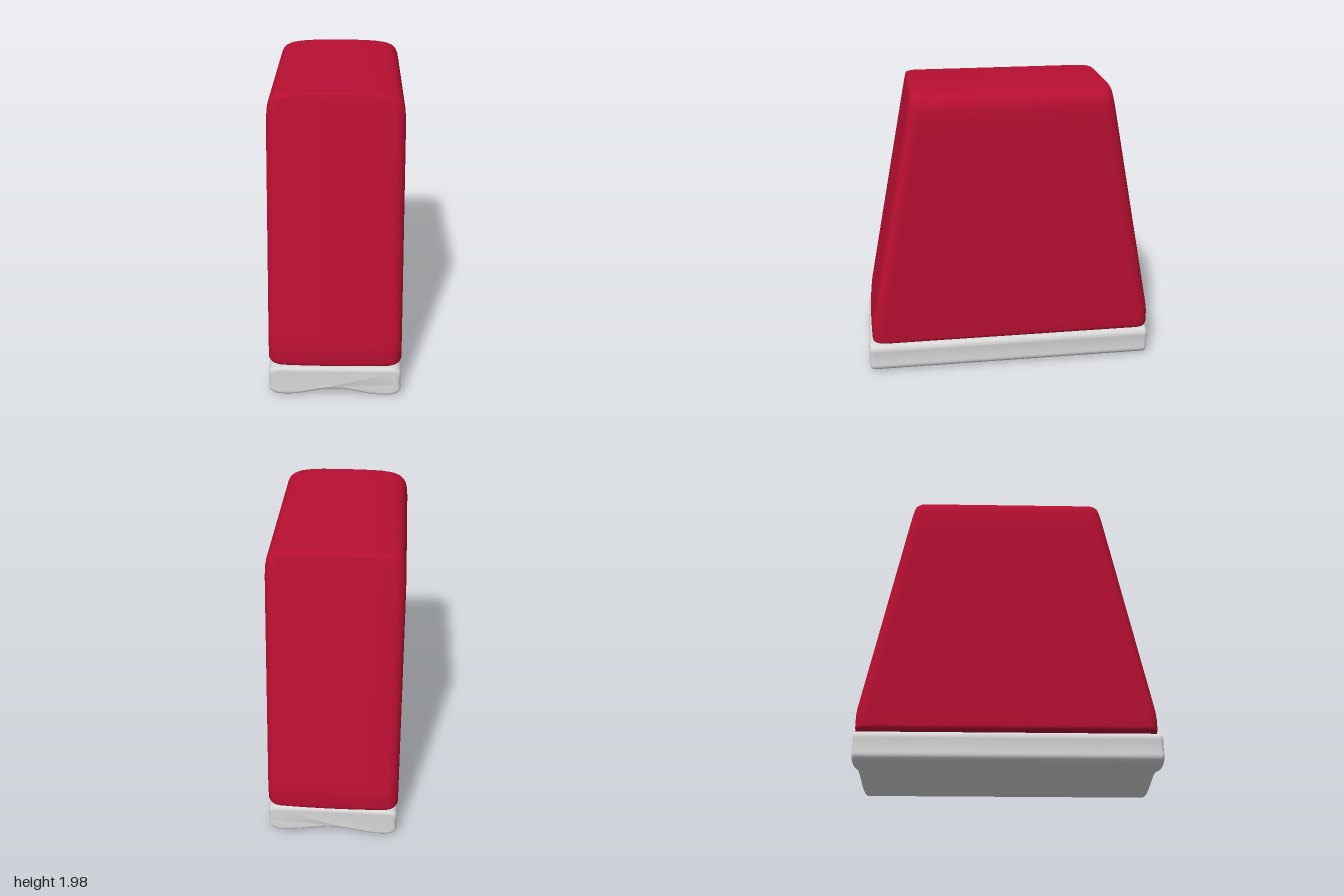
import * as THREE from 'three';
import { mergeVertices, toCreasedNormals } from 'three/addons/utils/BufferGeometryUtils.js';

const red = new THREE.MeshStandardMaterial({ color: 0xb80f31 });
red.name = 'red';
const lightGrey = new THREE.MeshStandardMaterial({ color: 0xd6d6d6 });
lightGrey.name = 'light grey';

// Rounded rectangle in plan, with its front and back ends slightly crowned
function planRing(y, w, zFront, zBack) {
  const mid = (zFront + zBack) / 2, d = (zFront - zBack) / 2, r = Math.min(0.075, w);
  const steps = 8, ends = 8, ring = [];
  const add = (x, z) => ring.push([x, y, mid + z * (1 - 0.014 * (x / 0.435) ** 2)]);
  for (let c = 0; c < 4; c++) {
    const sx = c === 0 || c === 3 ? 1 : -1, sz = c < 2 ? 1 : -1;
    for (let i = 0; i <= steps; i++) {
      const a = (c + i / steps) * Math.PI / 2;
      add(sx * (w - r) + r * Math.cos(a), sz * (d - r) + r * Math.sin(a));
    }
    // extra points along the two short ends carry the crown
    if (c % 2 === 0) for (let i = 1; i < ends; i++) add(sx * (w - r) * (1 - 2 * i / ends), sz * d);
  }
  return ring;
}

// Skin a stack of closed rings, bottom to top
function loft(rings) {
  const n = rings[0].length, index = [];
  for (let j = 0; j < rings.length - 1; j++) {
    for (let i = 0; i < n; i++) {
      const a = j * n + i, b = j * n + (i + 1) % n;
      index.push(a, a + n, b, b, a + n, b + n);
    }
  }
  let g = new THREE.BufferGeometry();
  g.setAttribute('position', new THREE.Float32BufferAttribute(rings.flat(2), 3));
  g.setIndex(index);
  g = mergeVertices(g, 1e-5);
  g.computeVertexNormals();
  return g;
}

// Tapered block: [height, half width, front z, back z]
function makeBody() {
  const slope = (y, w) => [y, w, 0.975 - 0.2 * (y - 0.35), -0.995 + 0.2 * (y - 0.35)];
  const profile = [
    [0.215, 0, 0.945, -0.965],
    [0.215, 0.39, 0.945, -0.965],
    [0.218, 0.415, 0.965, -0.985],
    [0.228, 0.43, 0.973, -0.993],
    [0.245, 0.437, 0.976, -0.996],
    [0.32, 0.437, 0.976, -0.996],
    slope(0.37, 0.437), slope(0.42, 0.437), slope(1.0, 0.436), slope(1.7, 0.435),
    slope(1.8, 0.434), slope(1.86, 0.43), slope(1.9, 0.422), slope(1.93, 0.408),
    slope(1.95, 0.388),
    [1.962, 0.362, 0.651, -0.671],
    [1.97, 0.315, 0.647, -0.667],
    [1.975, 0.25, 0.642, -0.662],
    [1.979, 0.13, 0.635, -0.655],
    [1.98, 0, 0.628, -0.648],
  ];
  return loft(profile.map((p) => planRing(...p)));
}

// Plinth: a section with an arched underside, drawn along z with rounded ends
function makeBase() {
  const b = 0.025, w = 0.434 - b;
  const s = new THREE.Shape();
  s.moveTo(0, 0.055 + b);
  s.bezierCurveTo(0.12, 0.055 + b, 0.2, 0.006 + b, 0.33, 0.004 + b);
  s.bezierCurveTo(0.38, 0.004 + b, w, 0.012 + b, w, 0.055);
  s.quadraticCurveTo(w - 0.006, 0.11, w, 0.165);
  s.quadraticCurveTo(w, 0.215 - b, w - 0.05, 0.215 - b);
  s.lineTo(-w + 0.05, 0.215 - b);
  s.quadraticCurveTo(-w, 0.215 - b, -w, 0.165);
  s.quadraticCurveTo(-w + 0.006, 0.11, -w, 0.055);
  s.bezierCurveTo(-w, 0.012 + b, -0.38, 0.004 + b, -0.33, 0.004 + b);
  s.bezierCurveTo(-0.2, 0.006 + b, -0.12, 0.055 + b, 0, 0.055 + b);
  const g = new THREE.ExtrudeGeometry(s, {
    depth: 2 - 2 * b, bevelThickness: b, bevelSize: b, bevelSegments: 5, curveSegments: 14,
  });
  g.translate(0, 0, -1 + b);
  // crown the ends to follow the block above
  const p = g.attributes.position;
  for (let i = 0; i < p.count; i++) p.setZ(i, p.getZ(i) * (1 - 0.012 * (p.getX(i) / 0.434) ** 2));
  return toCreasedNormals(g, 0.7);
}

export function createModel() {
  const model = new THREE.Group();
  model.name = 'taperedBlockOnPlinth';
  const body = new THREE.Mesh(makeBody(), red);
  body.name = 'taperedBody';
  const base = new THREE.Mesh(makeBase(), lightGrey);
  base.name = 'archedBase';
  // the whole piece sits at a very slight twist
  body.rotation.y = base.rotation.y = -0.008;
  model.add(body, base);
  return model;
}
